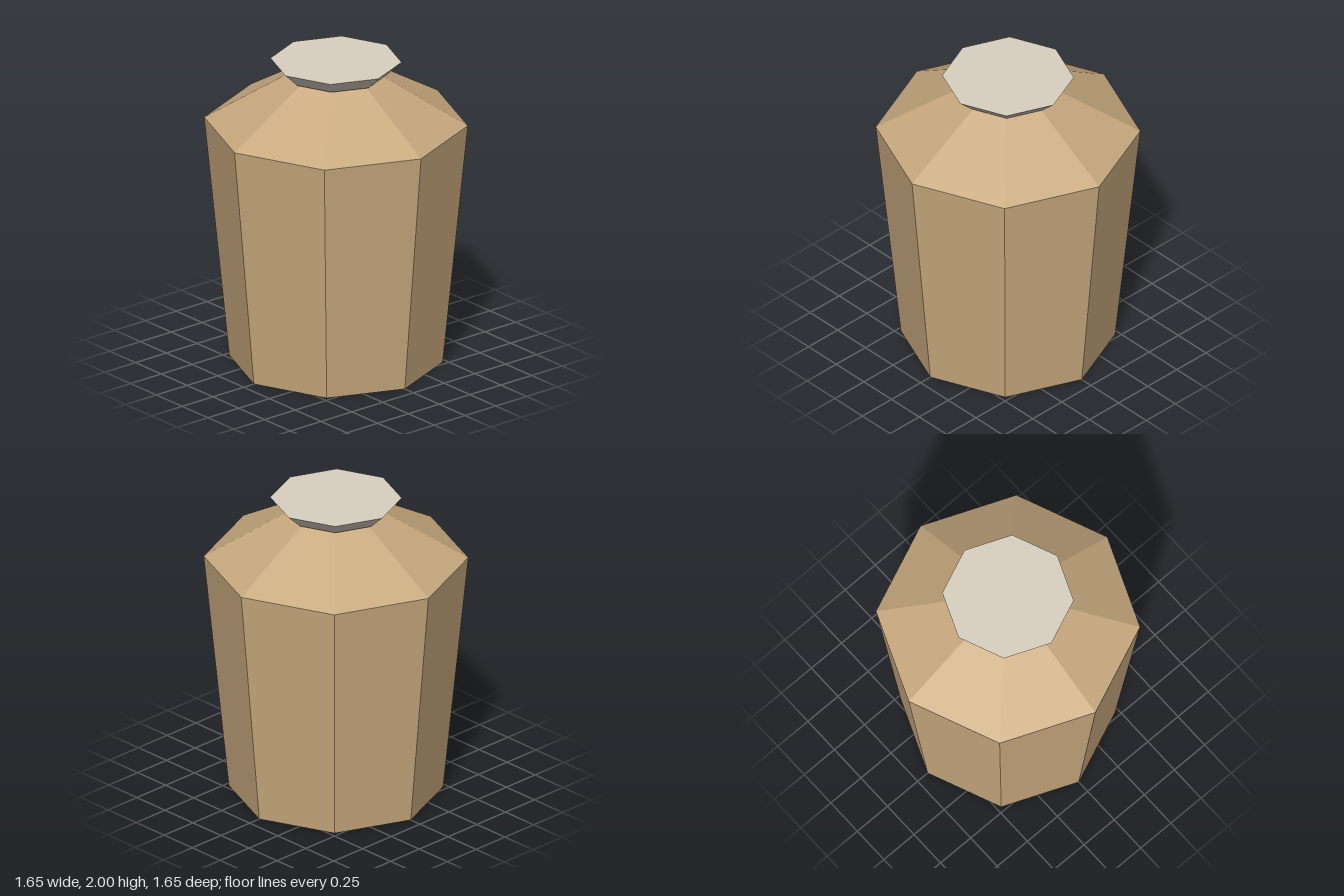
import * as THREE from 'three';

const SIDES = 8;

export function createModel() {
  const model = new THREE.Group();
  model.name = 'jar';

  const clay = new THREE.MeshStandardMaterial({ color: 0xc8a97e, flatShading: true });
  clay.name = 'tan clay';
  const stone = new THREE.MeshStandardMaterial({ color: 0xd8d0c0, flatShading: true });
  stone.name = 'pale stone';

  // Eight-sided frustum standing between two heights
  const addTier = (name, bottomRadius, topRadius, y0, y1, material) => {
    const geometry = new THREE.CylinderGeometry(topRadius, bottomRadius, y1 - y0, SIDES);
    const mesh = new THREE.Mesh(geometry, material);
    mesh.name = name;
    mesh.position.y = (y0 + y1) / 2;
    model.add(mesh);
  };

  addTier('body', 0.667, 0.824, 0, 1.59, clay);
  addTier('shoulder', 0.824, 0.285, 1.59, 1.91, clay);
  // Flared lid, wider at the top
  addTier('lid', 0.315, 0.41, 1.91, 2, stone);

  return model;
}
